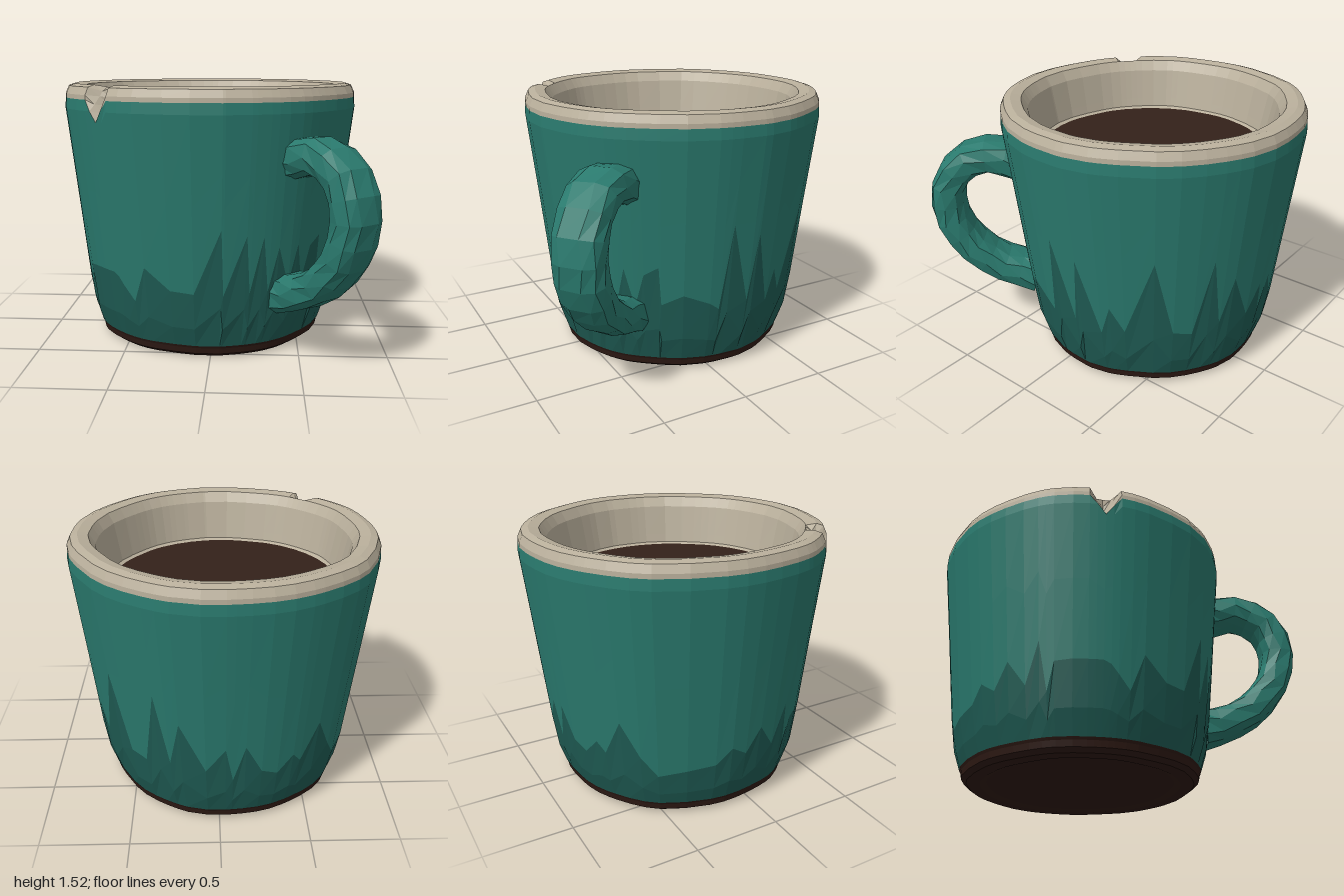
import * as THREE from 'three';

const CX = -0.045, CZ = -0.12;            // axis of the cup
const rad = THREE.MathUtils.degToRad, lerp = THREE.MathUtils.lerp;

const mat = (color, side = THREE.FrontSide) =>
  new THREE.MeshStandardMaterial({ color, flatShading: true, side });

// Glaze edge around the cup: angle in degrees from the front, height
const GLAZE = [
  [-66, 0.58], [-63, 0.3], [-60, 0.46], [-53, 0.47], [-47, 0.47], [-44, 0.47], [-41, 0.47],
  [-38, 0.45], [-35, 0.4], [-30, 0.32], [-24, 0.53], [-13, 0.41], [-3, 0.4], [8, 0.77],
  [9, 0.39], [18, 0.73], [20, 0.4], [25, 0.72], [28, 0.4], [32, 0.65], [38, 0.42],
  [42, 0.65], [46, 0.42], [50, 0.62], [56, 0.67], [57, 0.44], [66, 0.5], [77, 0.44],
  [81, 0.4], [85, 0.9], [94, 0.42], [97, 0.82], [106, 0.37], [110, 0.55], [116, 0.4],
  [128, 0.87], [136, 0.4], [144, 0.38], [151, 0.85], [156, 0.42], [161, 0.7], [171, 0.4],
  [179, 0.55], [182, 0.33], [187, 0.56], [194, 0.38], [201, 0.34], [208, 0.44], [212, 0.38],
  [220, 0.6], [228, 0.4], [235, 0.28], [247, 0.31], [259, 0.33], [266, 0.42], [273, 0.36],
  [280, 0.5], [288, 0.35],
];

// Outer wall: height, radius
const WALL = [[0.075, 0.7], [0.2, 0.742], [0.4, 0.77], [0.9, 0.825], [1.38, 0.88], [1.44, 0.876]];
function wallRadius(y) {
  let k = 0;
  while (k < WALL.length - 2 && y > WALL[k + 1][0]) k++;
  const [a, b] = [WALL[k], WALL[k + 1]];
  return lerp(a[1], b[1], (y - a[0]) / (b[0] - a[0]));
}
const wobble = (a) => 0.005 * Math.sin(rad(a) * 5) + 0.003 * Math.sin(rad(a) * 11 + 1);
// Depth of the chip in the rim, 0 to 1
const chip = (a) => Math.max(0, 1 - Math.abs(a + 41) / 6);
const rimEdge = (a) => 1.44 - 0.12 * chip(a);

// Skin over a grid of points; columns or rows may close on themselves
function skin(cols, closeCols, closeRows) {
  const n = cols.length, m = cols[0].length, index = [];
  for (let i = 0; i < (closeCols ? n : n - 1); i++) {
    for (let j = 0; j < (closeRows ? m : m - 1); j++) {
      const i2 = (i + 1) % n, j2 = (j + 1) % m;
      const a = i * m + j, b = i2 * m + j, c = i2 * m + j2, d = i * m + j2;
      index.push(a, b, c, a, c, d);
    }
  }
  const g = new THREE.BufferGeometry();
  g.setAttribute('position', new THREE.Float32BufferAttribute(cols.flat(2), 3));
  g.setIndex(index);
  g.computeVertexNormals();
  return g;
}

// Ring-shaped surface: profile(angle, glazeHeight) gives [radius, y] pairs
function ring(profile) {
  return skin(GLAZE.map(([a, h]) => profile(a, h).map(([r, y]) => {
    const R = r + wobble(a);
    return [R * Math.sin(rad(a)), y, R * Math.cos(rad(a))];
  })), true, false);
}
const wallBand = (y0, y1, steps) => steps.map((t) => {
  const y = lerp(y0, y1, t);
  return [wallRadius(y), y];
});

// Handle: a rounded section swept along a curve in the radial plane
function handleGeometry() {
  const path = new THREE.CatmullRomCurve3([
    [0.76, 1.12], [0.86, 1.145], [0.98, 1.165], [1.11, 1.12], [1.2, 1.02], [1.235, 0.88],
    [1.2, 0.7], [1.08, 0.53], [0.92, 0.42], [0.72, 0.36],
  ].map(([r, y]) => new THREE.Vector3(0, y, r)));
  const N = 13, S = 10, cols = [];
  for (let i = 0; i <= N; i++) {
    const t = i / N, p = path.getPointAt(t), d = path.getTangentAt(t);
    const flare = 1 + 0.2 * Math.pow(Math.abs(2 * t - 1), 6);
    const col = [];
    for (let j = 0; j < S; j++) {
      const q = (j + 0.5 * (i % 2) * 0.5) / S * Math.PI * 2;
      const round = (v) => Math.sign(v) * Math.pow(Math.abs(v), 0.7);
      const u = 0.138 * round(Math.cos(q)) * (flare * 0.5 + 0.5);
      const v = 0.098 * round(Math.sin(q)) * flare;
      col.push([u, p.y + d.z * v, p.z - d.y * v]);
    }
    cols.push(col);
  }
  return skin(cols, false, true);
}

export function createModel() {
  const group = new THREE.Group();
  const cup = new THREE.Group();
  cup.name = 'cup';
  cup.position.set(CX, 0, CZ);
  group.add(cup);
  const add = (name, geometry, material) => {
    const mesh = new THREE.Mesh(geometry, material);
    mesh.name = name;
    cup.add(mesh);
    return mesh;
  };

  // Two-tone glazed wall meeting along the jagged edge
  add('lowerGlaze', ring((a, h) => wallBand(0.075, h, [0, 0.35, 1])), mat(0x1f5c54));
  add('upperGlaze', ring((a, h) => {
    const top = rimEdge(a);
    return [...wallBand(h, 1.38 - 0.12 * chip(a), [0, 0.5, 1]), [wallRadius(top), top]];
  }), mat(0x2a7a6e));

  // Chipped rim running down the inside to the drink
  add('rim', ring((a) => {
    const c = chip(a), y = rimEdge(a);
    return [
      [wallRadius(y), y],
      [0.875 - 0.06 * c, 1.465 - 0.1 * c],
      [0.855 - 0.09 * c, 1.508 - 0.1 * c],
      [0.815 - 0.05 * c, 1.52 - 0.07 * c],
      [0.755, 1.508], [0.72, 1.45], [0.685, 1.27], [0.675, 1.22], [0.635, 1.2],
    ];
  }), mat(0xb9af9b));

  // Drink surface
  const drink = add('drink', new THREE.CircleGeometry(0.655, 40), mat(0x33211a));
  drink.rotation.x = -Math.PI / 2;
  drink.position.y = 1.21;

  // Unglazed foot with a shallow recess underneath
  add('foot', ring(() => [
    [0.02, 0.015], [0.54, 0.015], [0.58, 0], [0.655, 0.003], [0.685, 0.025], [0.692, 0.06], [0.7, 0.076],
  ]), mat(0x2e1a14));
  const footCentre = add('footCentre', new THREE.CircleGeometry(0.1, 16), mat(0x2e1a14));
  footCentre.rotation.x = Math.PI / 2;
  footCentre.position.y = 0.0149;

  // Handle
  const handle = add('handle', handleGeometry(), mat(0x2a7a6e, THREE.DoubleSide));
  handle.rotation.y = rad(40);
  return group;
}
